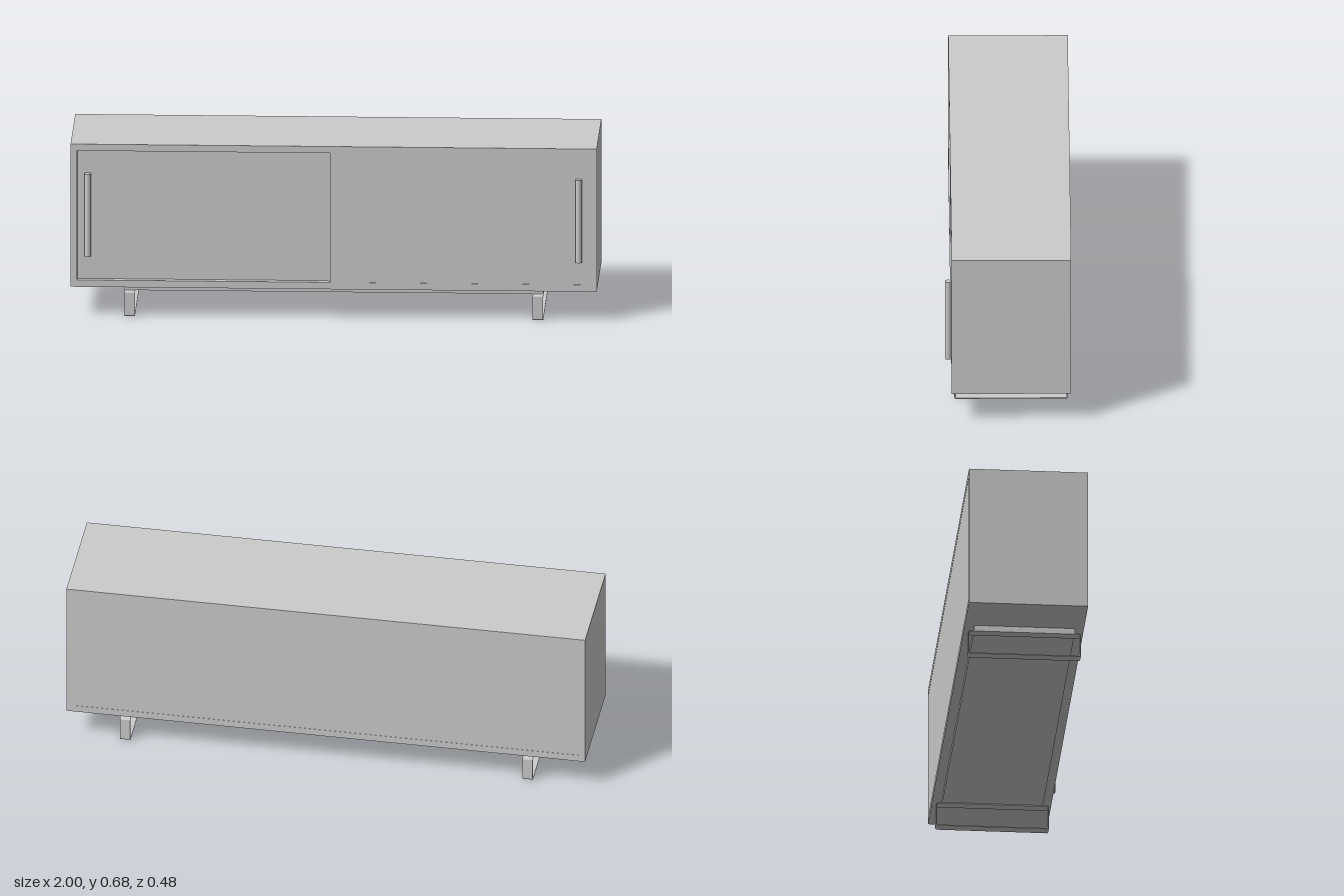
import * as THREE from 'three';

const material = new THREE.MeshStandardMaterial({ color: 0xcccccc });

// Box given by its limits on each axis
function box(name, [x0, x1], [y0, y1], [z0, z1]) {
  const mesh = new THREE.Mesh(new THREE.BoxGeometry(x1 - x0, y1 - y0, z1 - z0), material);
  mesh.name = name;
  mesh.position.set((x0 + x1) / 2, (y0 + y1) / 2, (z0 + z1) / 2);
  return mesh;
}

// Rounded rectangle outline, written into a Shape or Path
function roundedRect(path, x0, x1, y0, y1, r) {
  path.moveTo(x0 + r, y0);
  path.lineTo(x1 - r, y0);
  path.absarc(x1 - r, y0 + r, r, -Math.PI / 2, 0);
  path.lineTo(x1, y1 - r);
  path.absarc(x1 - r, y1 - r, r, 0, Math.PI / 2);
  path.lineTo(x0 + r, y1);
  path.absarc(x0 + r, y1 - r, r, Math.PI / 2, Math.PI);
  path.lineTo(x0, y0 + r);
  path.absarc(x0 + r, y0 + r, r, Math.PI, Math.PI * 1.5);
  return path;
}

// Flat metal strap bent into a closed loop running front to back
function legLoop(name, x) {
  const t = 0.0035, width = 0.04;
  const shape = roundedRect(new THREE.Shape(), -0.203, 0.228, 0, 0.097, 0.007);
  shape.holes.push(roundedRect(new THREE.Path(), -0.203 + t, 0.228 - t, t, 0.097 - t, 0.0035));
  const geometry = new THREE.ExtrudeGeometry(shape, { depth: width, bevelEnabled: false, curveSegments: 6 });
  geometry.translate(0, 0, -width / 2);
  geometry.rotateY(Math.PI / 2);
  const mesh = new THREE.Mesh(geometry, material);
  mesh.name = name;
  mesh.position.x = x;
  return mesh;
}

function handle(name, x, z) {
  const mesh = new THREE.Mesh(new THREE.CylinderGeometry(0.013, 0.013, 0.324, 24), material);
  mesh.name = name;
  mesh.position.set(x, 0.397, z);
  return mesh;
}

export function createModel() {
  const group = new THREE.Group();
  group.name = 'sideboard';
  const back = -0.24, front = 0.214;
  const inner = 0.975, floor = 0.144, ceiling = 0.651;

  // Carcass
  group.add(
    box('topPanel', [-1, 1], [ceiling, 0.677], [back, front]),
    box('bottomPanel', [-inner, inner], [0.117, floor], [back, front]),
    box('backPanel', [-inner, inner], [floor, ceiling], [back + 0.001, back + 0.02]),
    box('rightSidePanel', [-1, -inner], [0.117, ceiling], [back, front]),
    box('leftSidePanel', [inner, 1], [0.117, ceiling], [back, front]),
  );

  // Sliding doors on two tracks: the +x one runs in front
  group.add(
    box('frontDoor', [-0.014, inner], [floor, ceiling], [0.191, front - 0.001]),
    box('rearDoor', [-inner, 0.014], [floor, ceiling], [0.167, 0.19]),
    handle('frontDoorHandle', 0.932, 0.227),
    handle('rearDoorHandle', -0.935, 0.203),
  );

  // Base
  group.add(box('plinth', [-0.796, 0.796], [0.097, 0.117], [-0.204, 0.179]));
  group.add(legLoop('rightLeg', -0.776), legLoop('leftLeg', 0.776));

  return group;
}
